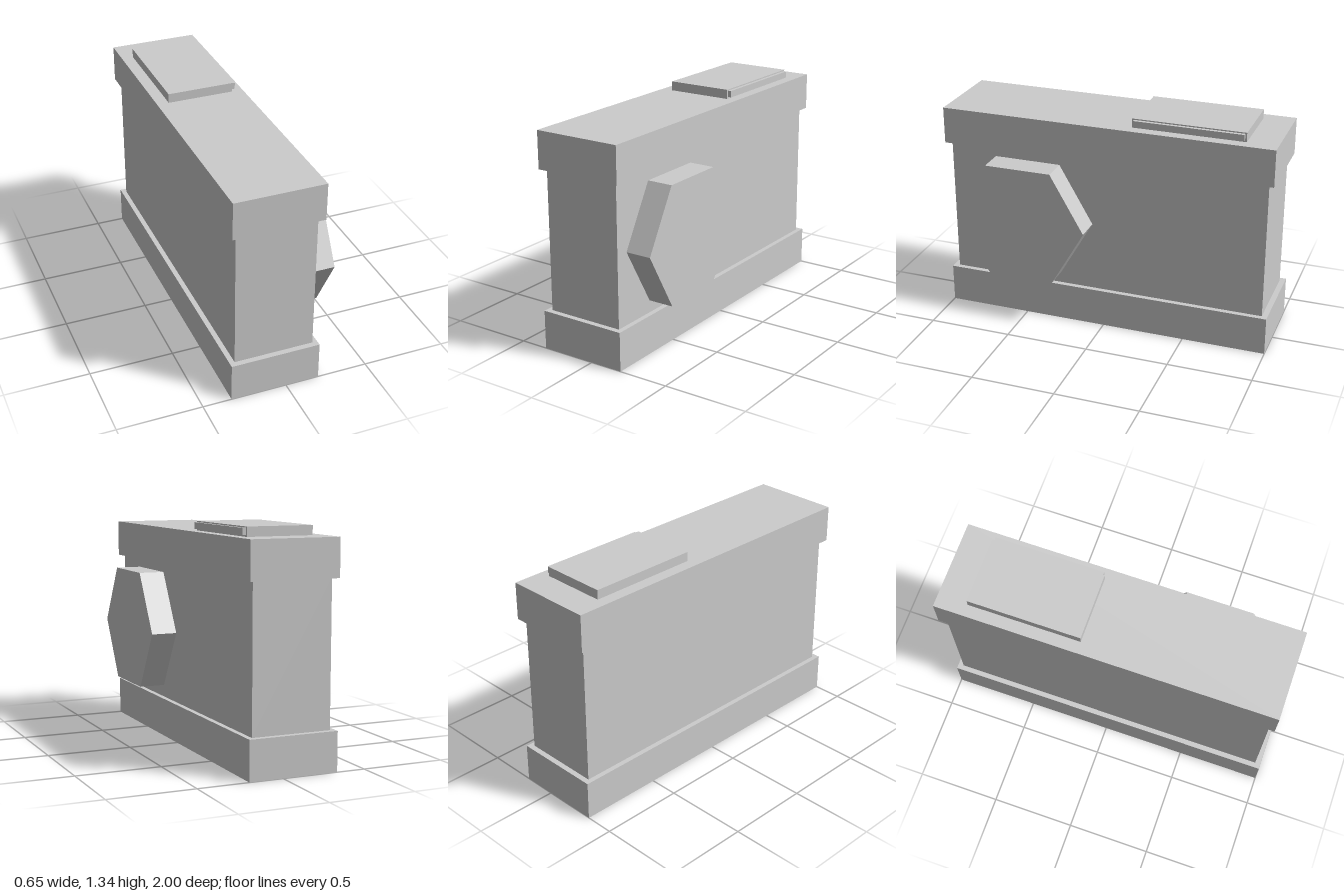
import * as THREE from 'three';

const grey = new THREE.MeshStandardMaterial({ color: 0xcccccc, flatShading: true });

// Box given by its extents along each axis
function block(name, [x0, x1], [y0, y1], [z0, z1]) {
  const mesh = new THREE.Mesh(new THREE.BoxGeometry(x1 - x0, y1 - y0, z1 - z0), grey);
  mesh.position.set((x0 + x1) / 2, (y0 + y1) / 2, (z0 + z1) / 2);
  mesh.name = name;
  return mesh;
}

export function createModel() {
  const model = new THREE.Group();
  model.name = 'camera';

  // Body between two wider plates
  model.add(
    block('basePlate', [-0.33, 0.2], [0, 0.23], [-1, 1]),
    block('body', [-0.3, 0.17], [0.23, 1.06], [-0.967, 0.967]),
    block('topPlate', [-0.33, 0.2], [1.06, 1.28], [-1, 1]),
  );

  // Raised housing on top with its thin window
  model.add(
    block('topHousing', [-0.26, 0.135], [1.28, 1.335], [-0.82, -0.155]),
    block('housingWindow', [0.135, 0.155], [1.29, 1.328], [-0.81, -0.165]),
  );

  // Hexagonal lens on the left side, corners pointing along z
  const lens = new THREE.Mesh(new THREE.CylinderGeometry(0.405, 0.405, 0.155, 6).rotateZ(-Math.PI / 2), grey);
  lens.position.set(0.2475, 0.653, 0.482);
  lens.name = 'lens';
  model.add(lens);

  return model;
}
